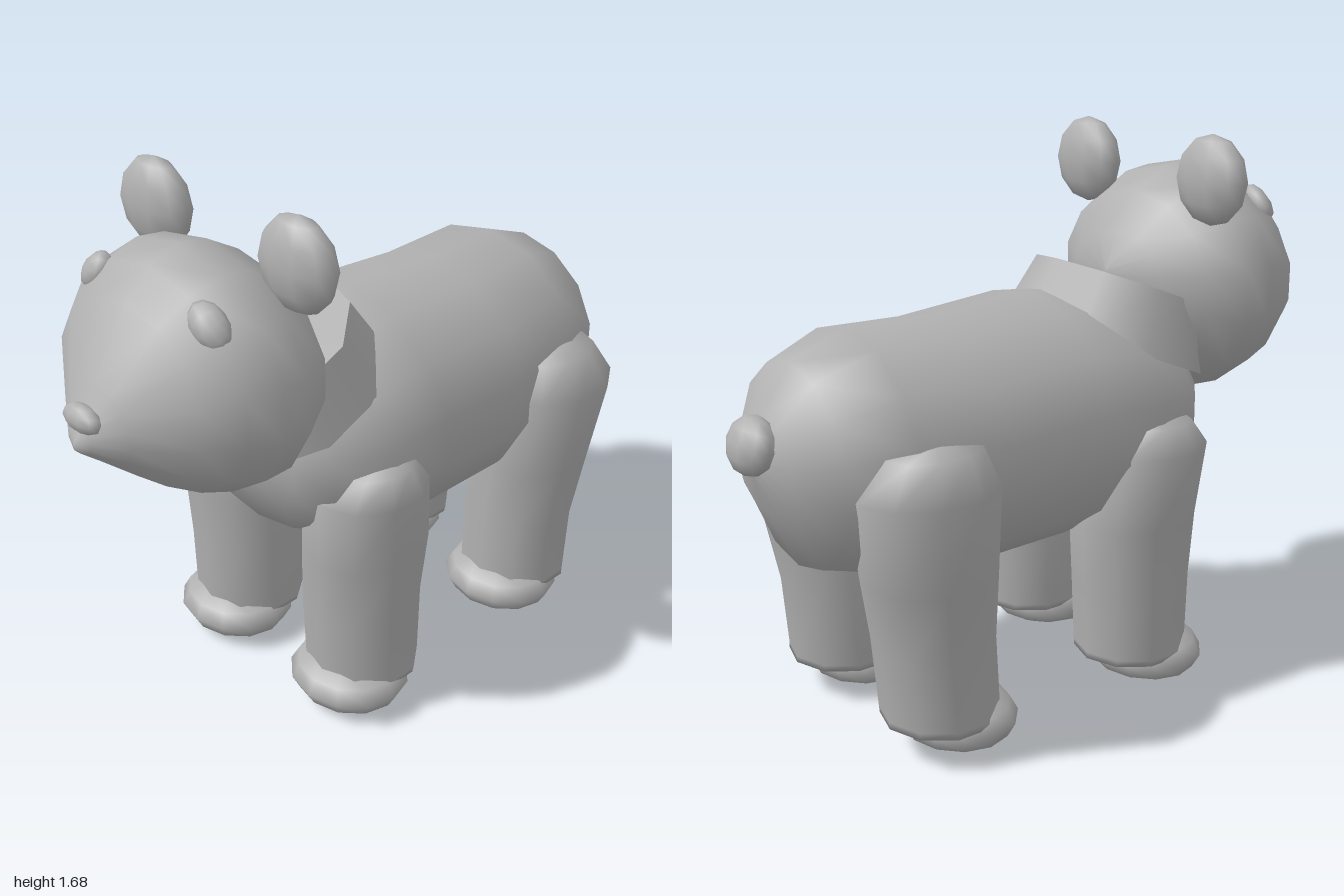
import * as THREE from 'three';
import { mergeVertices } from 'three/addons/utils/BufferGeometryUtils.js';

const fur = new THREE.MeshStandardMaterial({ color: 0xb0b0b0 });
fur.name = 'grey fur';

// Smooth skin over elliptical sections [z, centreX, centreY, radiusX, radiusY], z ascending
function loft(sections, sides) {
  const pos = [], index = [];
  sections.forEach(([z, cx, cy, rx, ry], s) => {
    for (let i = 0; i < sides; i++) {
      const a = (i / sides) * Math.PI * 2 + Math.PI / 2;
      pos.push(cx + rx * Math.cos(a), cy + ry * Math.sin(a), z);
      if (s === 0) continue;
      const j = (i + 1) % sides, lo = (s - 1) * sides, hi = s * sides;
      index.push(lo + i, lo + j, hi + j, lo + i, hi + j, hi + i);
    }
  });
  const geo = new THREE.BufferGeometry();
  geo.setAttribute('position', new THREE.Float32BufferAttribute(pos, 3));
  geo.setIndex(index);
  const merged = mergeVertices(geo, 1e-4);
  merged.computeVertexNormals();
  return merged;
}

// Profile along the spine: [z, bottom, top, halfWidth]
const spine = (rows) =>
  loft(rows.map(([z, b, t, w]) => [z, 0, (b + t) / 2, w, (t - b) / 2]), 14);

// Upright limb: [y, innerX, outerX, backZ, frontZ]
const limb = (rows) =>
  loft(rows.map(([y, x0, x1, z0, z1]) =>
    [y, (x0 + x1) / 2, -(z0 + z1) / 2, (x1 - x0) / 2, (z1 - z0) / 2]), 10).rotateX(-Math.PI / 2);

export function createModel() {
  const model = new THREE.Group();
  model.name = 'bear';

  const add = (name, geo) => {
    const mesh = new THREE.Mesh(geo, fur);
    mesh.name = name;
    model.add(mesh);
    return mesh;
  };
  const blob = (name, pos, size, segs = 10) => {
    const mesh = add(name, new THREE.SphereGeometry(1, segs, 6));
    mesh.position.set(...pos);
    mesh.scale.set(...size);
    return mesh;
  };

  // Torso
  add('body', spine([
    [-0.94, 0.86, 0.9, 0], [-0.9, 0.73, 1.0, 0.16], [-0.81, 0.55, 1.14, 0.3],
    [-0.63, 0.5, 1.21, 0.37], [-0.35, 0.46, 1.2, 0.4], [0, 0.47, 1.23, 0.41],
    [0.2, 0.5, 1.19, 0.405], [0.38, 0.6, 1.1, 0.34], [0.46, 0.7, 1.05, 0.25],
    [0.54, 0.84, 0.96, 0],
  ]));

  // Neck collar, leaning forward into the head
  const neck = add('neck', new THREE.CylinderGeometry(0.28, 0.33, 0.2, 10));
  neck.rotation.x = 0.39;
  neck.position.set(0, 1.108, 0.332);

  // Head tapering to the muzzle
  add('head', spine([
    [0.3, 1.21, 1.25, 0], [0.34, 1.08, 1.36, 0.2], [0.42, 0.94, 1.48, 0.34],
    [0.53, 0.845, 1.545, 0.4], [0.62, 0.84, 1.56, 0.4], [0.72, 0.88, 1.53, 0.37],
    [0.81, 0.935, 1.45, 0.3], [0.92, 1.03, 1.26, 0.14], [0.98, 1.08, 1.16, 0.05],
    [1.0, 1.1, 1.12, 0],
  ]));

  blob('nose', [0, 1.18, 0.965], [0.072, 0.04, 0.034]);
  const tail = blob('tail', [0, 0.93, -0.935], [0.1, 0.085, 0.06]);
  tail.rotation.x = 0.3;

  // Legs, feet, ears and eyes on both sides
  const frontLeg = [
    [0.11, 0.255, 0.255, 0.2, 0.2], [0.11, 0.085, 0.43, 0.03, 0.37],
    [0.13, 0.08, 0.435, 0.03, 0.37], [0.35, 0.075, 0.435, 0.02, 0.38],
    [0.55, 0.08, 0.45, 0.0, 0.39], [0.78, 0.11, 0.47, 0.03, 0.41],
    [0.86, 0.22, 0.43, 0.09, 0.34], [0.88, 0.34, 0.34, 0.18, 0.18],
  ];
  const backLeg = [
    [0.11, 0.255, 0.255, -0.52, -0.52], [0.11, 0.085, 0.44, -0.69, -0.35],
    [0.13, 0.08, 0.44, -0.69, -0.35], [0.35, 0.075, 0.44, -0.71, -0.36],
    [0.55, 0.08, 0.465, -0.75, -0.36], [0.82, 0.12, 0.5, -0.8, -0.37],
    [0.93, 0.22, 0.44, -0.72, -0.42], [0.95, 0.34, 0.34, -0.57, -0.57],
  ];
  for (const [side, s] of [['left', 1], ['right', -1]]) {
    const mirror = (rows) => rows.map(([y, a, b, z0, z1]) =>
      s > 0 ? [y, a, b, z0, z1] : [y, -b, -a, z0, z1]);
    add(`${side} front leg`, limb(mirror(frontLeg)));
    add(`${side} back leg`, limb(mirror(backLeg)));
    blob(`${side} front foot`, [s * 0.26, 0.092, 0.26], [0.193, 0.088, 0.172], 12);
    blob(`${side} back foot`, [s * 0.26, 0.092, -0.46], [0.193, 0.088, 0.172], 12);
    blob(`${side} ear`, [s * 0.284, 1.543, 0.465], [0.136, 0.136, 0.068]);
    const eye = blob(`${side} eye`, [s * 0.23, 1.442, 0.72], [0.072, 0.05, 0.035]);
    eye.rotation.set(-0.6, s * 0.45, s * -0.5);
  }
  return model;
}
